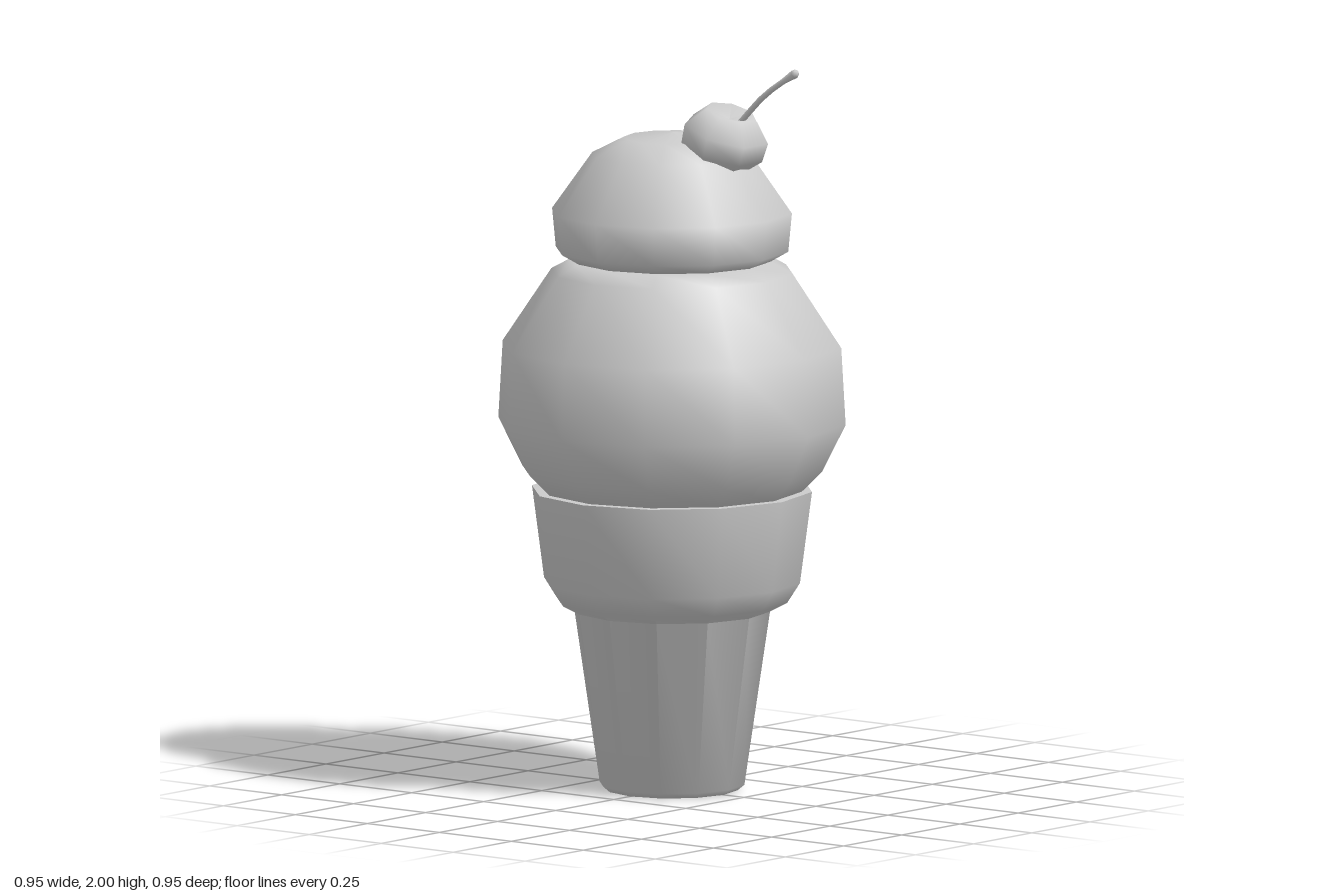
import * as THREE from 'three';
import { toCreasedNormals } from 'three/addons/utils/BufferGeometryUtils.js';

const material = new THREE.MeshStandardMaterial({ color: 0xcccccc });

// Profile of [radius, height] pairs, bottom to top, spun around y
function spin(name, profile, sides, crease) {
  const points = profile.map(([r, y]) => new THREE.Vector2(r, y));
  let geometry = new THREE.LatheGeometry(points, sides);
  if (crease) geometry = toCreasedNormals(geometry, crease);
  const mesh = new THREE.Mesh(geometry, material);
  mesh.name = name;
  return mesh;
}

// Thin curved stem, flared at its tip
function makeStem() {
  const curve = new THREE.CatmullRomCurve3([
    new THREE.Vector3(0.19, 1.81, -0.02),
    new THREE.Vector3(0.23, 1.85, -0.022),
    new THREE.Vector3(0.30, 1.92, -0.026),
    new THREE.Vector3(0.38, 1.976, -0.032),
    new THREE.Vector3(0.40, 1.988, -0.033),
  ]);
  const steps = 6, sides = 6;
  const geometry = new THREE.TubeGeometry(curve, steps, 0.008, sides);
  const pos = geometry.attributes.position;
  const v = new THREE.Vector3();
  for (let i = 0; i <= steps; i++) {
    const centre = curve.getPointAt(i / steps);
    const scale = i === steps ? 1.6 : 1;
    for (let j = 0; j <= sides; j++) {
      const k = i * (sides + 1) + j;
      v.fromBufferAttribute(pos, k).sub(centre).multiplyScalar(scale).add(centre);
      pos.setXYZ(k, v.x, v.y, v.z);
    }
  }
  const stem = new THREE.Group();
  stem.name = 'cherryStem';
  stem.add(new THREE.Mesh(geometry, material));

  // Cap closing the tip
  const cap = new THREE.Mesh(new THREE.SphereGeometry(0.0125, 6, 4), material);
  cap.position.copy(curve.getPointAt(1));
  cap.name = 'stemTip';
  stem.add(cap);
  return stem;
}

export function createModel() {
  const model = new THREE.Group();
  model.name = 'iceCreamCone';

  // Wafer cone with a wide cup and a sharp rim
  model.add(spin('waferCone', [
    [0, 0], [0.18, 0], [0.198, 0.015], [0.268, 0.49], [0.315, 0.515],
    [0.35, 0.57], [0.383, 0.82], [0.34, 0.82],
  ], 12, 1.0));

  // Large lower scoop
  model.add(spin('lowerScoop', [
    [0.3, 0.79], [0.355, 0.82], [0.41, 0.875], [0.475, 1.005], [0.463, 1.215],
    [0.33, 1.415], [0.275, 1.445], [0, 1.47],
  ], 12));

  // Smaller upper scoop with an overhanging skirt
  model.add(spin('upperScoop', [
    [0.2, 1.44], [0.27, 1.447], [0.318, 1.475], [0.328, 1.58], [0.218, 1.735],
    [0.13, 1.78], [0, 1.795],
  ], 12));

  // Faceted cherry leaning to one side
  const cherry = spin('cherry', [
    [0, -0.085], [0.065, -0.083], [0.115, -0.03], [0.119, 0.025],
    [0.07, 0.08], [0, 0.06],
  ], 7);
  cherry.rotation.set(0, -Math.PI / 2, 0);
  const tilt = new THREE.Group();
  tilt.name = 'tiltedCherry';
  tilt.position.set(0.166, 1.788, -0.02);
  tilt.rotation.z = -0.3;
  tilt.add(cherry);
  model.add(tilt, makeStem());

  return model;
}
